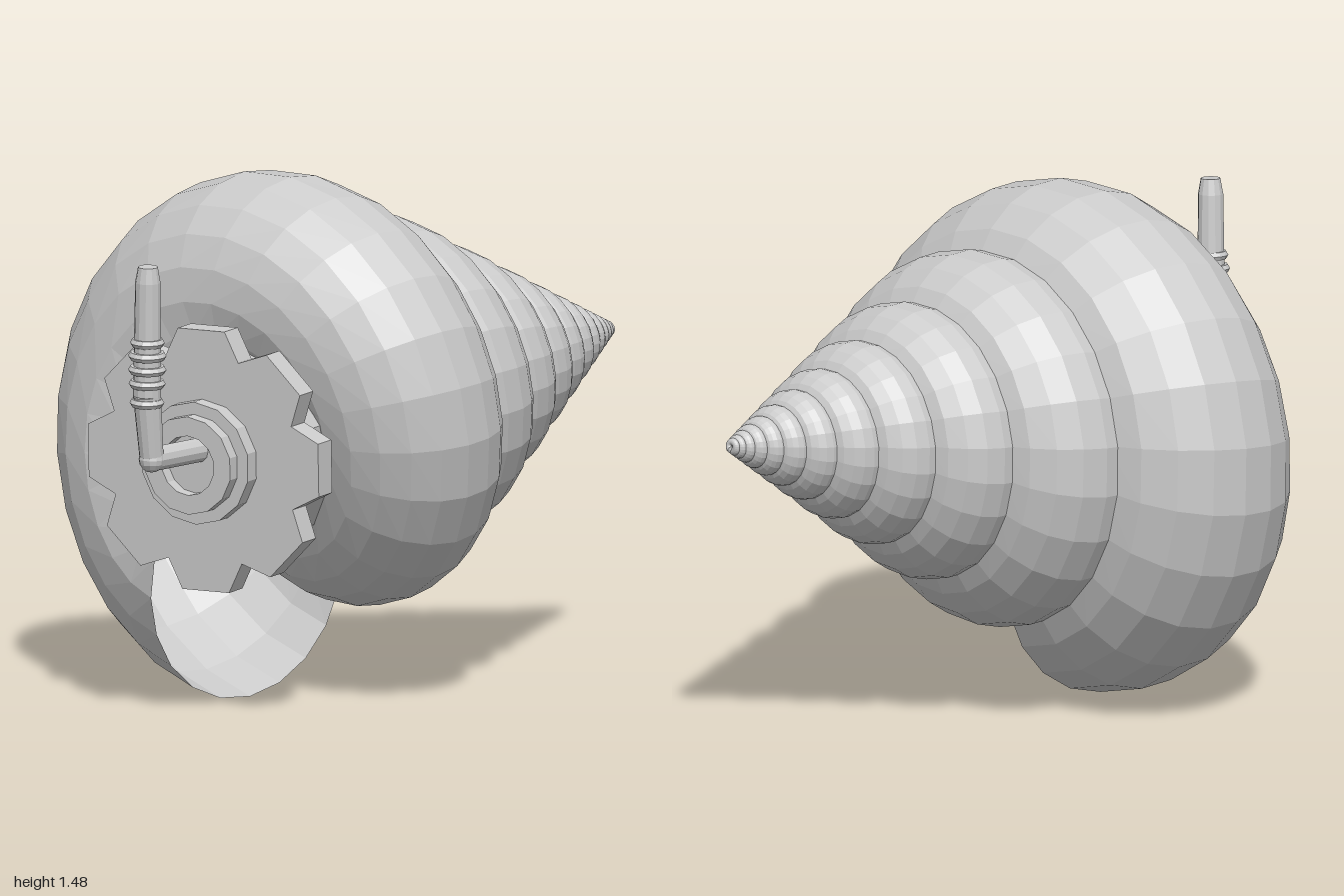
import * as THREE from 'three';

const V = (x, y, z) => new THREE.Vector3(x, y, z);
const material = new THREE.MeshStandardMaterial({ color: 0xcccccc, flatShading: true, side: THREE.DoubleSide });

function part(name, geometry, parent) {
  const mesh = new THREE.Mesh(geometry, material);
  mesh.name = name;
  parent.add(mesh);
  return mesh;
}

// Round tube swept along a logarithmic spiral that shrinks towards the apex
function shellGeometry() {
  const apex = V(1.02, 0.93, 0.265);
  const center = V(-1.385, -0.135, -0.247); // centre of the widest whorl, from the apex
  const axis = center.clone().normalize();
  const down = V(0, -1, 0).projectOnPlane(axis).normalize();
  const back = down.clone().cross(axis).normalize();
  if (back.z > 0) back.negate();
  const whorlRadius = 0.435, tubeRadius = 0.36, ratio = 0.735;
  const turns = 12, perTurn = 24, sides = 20, start = 0.07;
  const steps = turns * perTurn;
  const pos = [], index = [];
  for (let i = 0; i <= steps; i++) {
    const t = start + (i / perTurn) * Math.PI * 2;
    const s = Math.pow(ratio, t / (Math.PI * 2));
    const radial = down.clone().multiplyScalar(Math.cos(t)).addScaledVector(back, Math.sin(t));
    const r = i === steps ? 0 : tubeRadius; // pinch the tip shut
    for (let j = 0; j <= sides; j++) {
      const a = (j / sides) * Math.PI * 2;
      const p = center.clone()
        .addScaledVector(radial, whorlRadius + r * Math.cos(a))
        .addScaledVector(axis, r * Math.sin(a))
        .multiplyScalar(s).add(apex);
      pos.push(p.x, p.y, p.z);
      if (i < steps && j < sides) {
        const k = i * (sides + 1) + j, n = k + sides + 1;
        index.push(k, k + 1, n, k + 1, n + 1, n);
      }
    }
  }
  const g = new THREE.BufferGeometry();
  g.setAttribute('position', new THREE.Float32BufferAttribute(pos, 3));
  g.setIndex(index);
  g.computeVertexNormals();
  return g;
}

// Flat disc with eight flat-tipped teeth and V notches
function gearGeometry(depth) {
  const pts = [];
  for (let i = 0; i < 8; i++) {
    const a = Math.PI / 2 + (i * Math.PI) / 4;
    for (const [da, r] of [[-0.2, 0.38], [0.2, 0.38], [Math.PI / 8, 0.31]]) {
      pts.push(new THREE.Vector2(Math.cos(a + da) * r, Math.sin(a + da) * r));
    }
  }
  return new THREE.ExtrudeGeometry(new THREE.Shape(pts), { depth, bevelEnabled: false });
}

// Cylinder along +z from z0 to z1
function disc(radius, z0, z1, sides) {
  return new THREE.CylinderGeometry(radius, radius, z1 - z0, sides)
    .rotateX(Math.PI / 2).translate(0, 0, (z0 + z1) / 2);
}

// Cylinder between two points
function rod(a, b, ra, rb, sides = 12) {
  const d = b.clone().sub(a);
  const g = new THREE.CylinderGeometry(rb, ra, d.length(), sides);
  g.applyQuaternion(new THREE.Quaternion().setFromUnitVectors(V(0, 1, 0), d.normalize()));
  const m = a.clone().add(b).multiplyScalar(0.5);
  return g.translate(m.x, m.y, m.z);
}

export function createModel() {
  const model = new THREE.Group();
  model.name = 'spiralShellWithCrank';
  part('shell', shellGeometry(), model);

  // Toothed wheel and its hub, facing out along the local +z
  const wheel = new THREE.Group();
  wheel.name = 'wheel';
  wheel.position.set(-0.622, 0.74, 0.11);
  const facing = V(-0.988, -0.035, 0.15).normalize();
  wheel.lookAt(wheel.position.clone().add(facing));
  model.add(wheel);
  part('gear', gearGeometry(0.075).translate(0, 0, -0.038), wheel);
  part('axleDrum', disc(0.28, -0.4, -0.03, 10), wheel);
  part('hubPlate', disc(0.175, 0.03, 0.085, 14), wheel);
  const rim = [[0.085, 0.08], [0.14, 0.08], [0.14, 0.125], [0.085, 0.125], [0.085, 0.08]]
    .map(([r, y]) => new THREE.Vector2(r, y));
  part('hubRing', new THREE.LatheGeometry(rim, 14).rotateX(Math.PI / 2), wheel);

  // Crank: shaft, elbow and upright handle
  const crank = new THREE.Group();
  crank.name = 'crank';
  model.add(crank);
  const elbow = V(-0.915, 0.775, 0.135);
  const foot = V(-0.942, 0.96, 0.14);
  const tip = V(-0.963, 1.33, 0.16);
  part('shaft', rod(V(-0.62, 0.775, 0.13), elbow, 0.035, 0.035), crank);
  part('elbow', new THREE.SphereGeometry(0.037, 12, 8).translate(elbow.x, elbow.y, elbow.z), crank);
  part('arm', rod(elbow, foot, 0.034, 0.04), crank);
  part('handle', rod(foot, tip.clone().lerp(foot, 0.12), 0.04, 0.036), crank);
  part('handleTip', rod(tip.clone().lerp(foot, 0.12), tip, 0.036, 0.028), crank);

  // Raised rings around the handle
  const along = tip.clone().sub(foot).normalize();
  [[-0.02, 0.036], [0.035, 0.039], [0.075, 0.041], [0.115, 0.041], [0.153, 0.036]].forEach(([d, r]) => {
    const ring = part('handleRing', new THREE.TorusGeometry(r, 0.013, 6, 14), crank);
    ring.position.copy(foot).addScaledVector(along, d);
    ring.quaternion.setFromUnitVectors(V(0, 0, 1), along);
  });
  return model;
}
